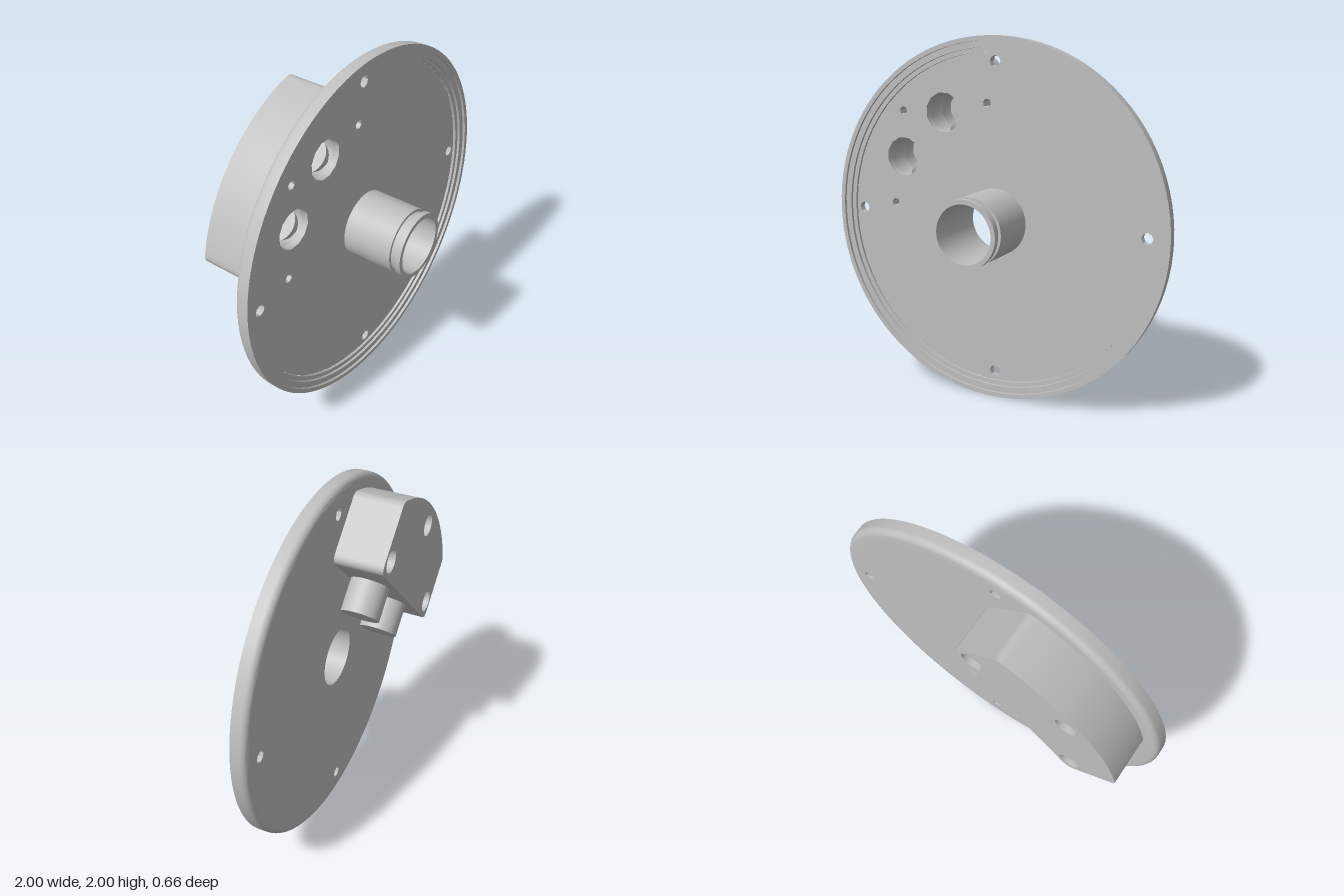
import * as THREE from 'three';
import { toCreasedNormals } from 'three/addons/utils/BufferGeometryUtils.js';

const metal = new THREE.MeshStandardMaterial({ color: 0xbfbfbf });
metal.name = 'grey metal';

const BACK = -0.065, FLOOR = -0.025;

function part(name, geometry, parent) {
  const mesh = new THREE.Mesh(toCreasedNormals(geometry, 0.7), metal);
  mesh.name = name;
  parent.add(mesh);
  return mesh;
}

// Polygonal circular hole
function hole([x, y], r, sides) {
  const pts = [];
  for (let i = 0; i < sides; i++) {
    const a = -i / sides * Math.PI * 2;
    pts.push(new THREE.Vector2(x + r * Math.cos(a), y + r * Math.sin(a)));
  }
  return new THREE.Path(pts);
}

// Flat slab between two depths
function slab(shape, holes, z0, z1) {
  shape.holes = holes;
  const g = new THREE.ExtrudeGeometry(shape, { depth: z1 - z0, bevelEnabled: false, curveSegments: 32 });
  return g.translate(0, 0, z0);
}

// Ring turned about the z axis from [radius, z] points
function turned(profile) {
  const g = new THREE.LatheGeometry(profile.map(p => new THREE.Vector2(...p)), 96);
  return g.rotateX(Math.PI / 2);
}

// Block outline: straight inner edge and ends, arc along the outside
function blockShape() {
  const R = 0.92, a = Math.atan2(0.772, 0.5) + 0.03, s = new THREE.Shape();
  s.moveTo(-0.45, 0.4);
  s.lineTo(0.45, 0.4);
  s.quadraticCurveTo(0.5, 0.4, 0.5, 0.45);
  s.lineTo(0.5, 0.745);
  s.quadraticCurveTo(0.5, 0.772, R * Math.cos(a), R * Math.sin(a));
  s.absarc(0, 0, R, a, Math.PI - a, false);
  s.quadraticCurveTo(-0.5, 0.772, -0.5, 0.745);
  s.lineTo(-0.5, 0.45);
  s.quadraticCurveTo(-0.5, 0.4, -0.45, 0.4);
  return s;
}

export function createModel() {
  const model = new THREE.Group();
  model.name = 'flangeAssembly';

  // Working frame turned so the block's symmetry line is its y axis
  const body = new THREE.Group();
  body.name = 'body';
  body.position.y = 1;
  body.rotation.z = Math.PI / 4;
  model.add(body);

  const screws = [[0.42, 0.49], [-0.42, 0.49], [0, 0.82]];
  const ports = [[0.185, 0.638], [-0.185, 0.638]];
  const mounts = [0, 1, 2, 3].map(i => {
    const a = Math.PI / 4 + i * Math.PI / 2;
    return [0.865 * Math.cos(a), 0.865 * Math.sin(a)];
  });
  const screwHoles = () => screws.map(p => hole(p, 0.025, 6));
  const counterbores = () => screws.map(p => hole(p, 0.062, 16));
  const portHoles = () => ports.map(p => hole(p, 0.11, 12));

  // Plate with all its through holes
  const disc = new THREE.Shape().absarc(0, 0, 0.915, 0, Math.PI * 2, false);
  part('plate', slab(disc, [
    hole([0, 0], 0.16, 48), ...mounts.map(p => hole(p, 0.032, 8)), ...screwHoles(), ...portHoles(),
  ], BACK, FLOOR), body);

  // Stepped rim, rounded at the back
  const rim = [[0.914, BACK], [0.965, BACK]];
  for (let i = 1; i <= 6; i++) {
    const a = i / 6 * Math.PI / 2;
    rim.push([0.965 + 0.035 * Math.sin(a), BACK + 0.035 * (1 - Math.cos(a))]);
  }
  rim.push([1, 0.02], [0.975, 0.02], [0.975, 0.005], [0.94, 0.005], [0.94, -0.01], [0.915, -0.01], [0.915, FLOOR]);
  part('rim', turned(rim), body);

  // Central tube with a ring groove near its end
  part('tube', turned([
    [0.185, FLOOR], [0.185, 0.265], [0.17, 0.265], [0.17, 0.297], [0.185, 0.297],
    [0.185, 0.33], [0.16, 0.33], [0.16, FLOOR],
  ]), body);

  // Block in layers: blind ports from the front, counterbores from the back
  const block = new THREE.Group();
  block.name = 'block';
  body.add(block);
  part('blockFront', slab(blockShape(), [...screwHoles(), ...portHoles()], -0.2, BACK), block);
  part('blockMiddle', slab(blockShape(), [...counterbores(), ...portHoles()], -0.29, -0.2), block);
  part('blockBack', slab(blockShape(), counterbores(), -0.33, -0.29), block);

  // Pipe stubs running from the ports out of the inner edge
  for (const side of [-1, 1]) {
    const stub = part('pipeStub', new THREE.CylinderGeometry(0.105, 0.105, 0.35, 40), body);
    stub.position.set(side * 0.185, 0.393, -0.18);
  }
  return model;
}
